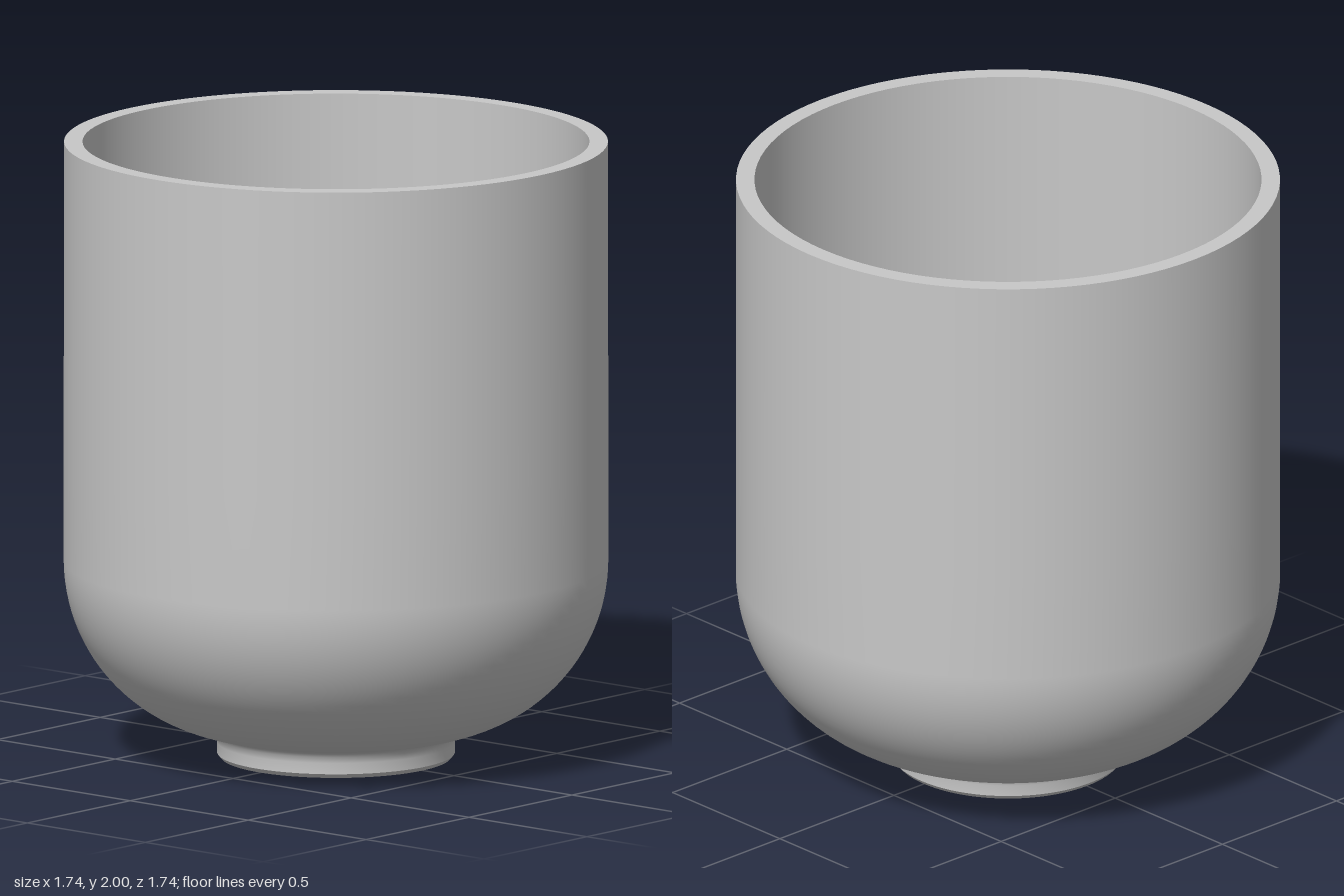
import * as THREE from 'three';

const SEGMENTS = 96;

// Points along a circular arc, angles in degrees
function arc(cx, cy, r, from, to, steps) {
  return Array.from({ length: steps + 1 }, (_, i) => {
    const a = THREE.MathUtils.degToRad(from + ((to - from) * i) / steps);
    return [cx + r * Math.cos(a), cy + r * Math.sin(a)];
  });
}

export function createModel() {
  const model = new THREE.Group();
  model.name = 'cup';
  const ceramic = new THREE.MeshStandardMaterial({ color: 0xc8c8c8 });
  ceramic.name = 'grey ceramic';

  // Each part is smooth within itself and meets the next at a crisp edge
  const turned = (name, points) => {
    const profile = points.map(([x, y]) => new THREE.Vector2(x, y));
    const mesh = new THREE.Mesh(new THREE.LatheGeometry(profile, SEGMENTS), ceramic);
    mesh.name = name;
    model.add(mesh);
  };

  // Hollow underside and foot ring
  turned('recessCeiling', [[0, 0.05], [0.28, 0.05]]);
  turned('recessWall', [[0.28, 0.05], [0.29, 0.035], [0.3, 0]]);
  turned('footBottom', [[0.3, 0], [0.368, 0]]);
  turned('footBevel', [[0.368, 0], [0.38, 0.014]]);
  turned('footWall', [[0.38, 0.014], [0.38, 0.05], [0.385, 0.07], [0.395, 0.082], [0.41, 0.089]]);

  // Rounded bowl rising into a straight outer wall
  turned('outerWall', [...arc(0.31, 0.64, 0.56, -79.7, 0, 24), [0.87, 1], [0.869, 2]]);
  turned('rim', [[0.869, 2], [0.81, 2]]);

  // Inside wall, curving down to the sunken floor
  turned('innerWall', [[0.81, 2], [0.81, 1], ...arc(0.31, 0.64, 0.5, 0, -84, 24)]);
  turned('troughWall', [[0.362, 0.143], [0.353, 0.13], [0.35, 0.11], [0.343, 0.1]]);
  turned('troughFloor', [[0.343, 0.1], [0.28, 0.1]]);
  turned('plateauEdge', [[0.28, 0.1], [0.273, 0.118], [0.262, 0.13]]);
  turned('plateau', [[0.262, 0.13], [0, 0.13]]);

  return model;
}
